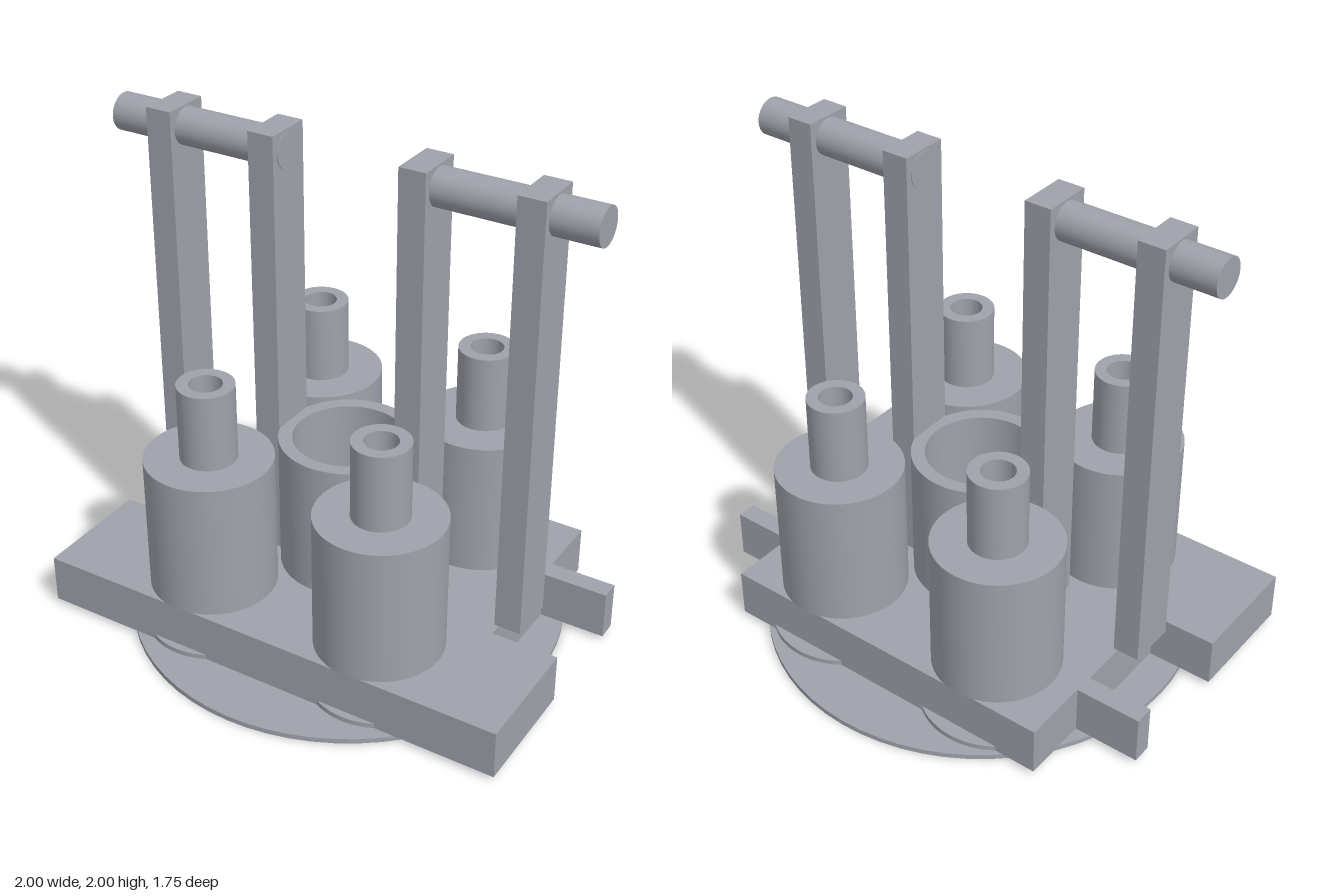
import * as THREE from 'three';
import { toCreasedNormals } from 'three/addons/utils/BufferGeometryUtils.js';

export function createModel() {
  const model = new THREE.Group();
  model.name = 'model';
  const grey = new THREE.MeshStandardMaterial({ color: 0x9fa2ab });
  grey.name = 'grey metal';

  function add(name, geometry, x = 0, y = 0, z = 0) {
    const mesh = new THREE.Mesh(geometry, grey);
    mesh.name = name;
    mesh.position.set(x, y, z);
    model.add(mesh);
  }

  // Turned solid from [radius, y] points, with crisp rims
  function turned(profile) {
    const points = profile.map(([r, y]) => new THREE.Vector2(r, y));
    return toCreasedNormals(new THREE.LatheGeometry(points, 64), 0.6);
  }
  const ring = (inner, outer, y0, y1) =>
    turned([[inner, y0], [outer, y0], [outer, y1], [inner, y1], [inner, y0]]);

  // Thin round base with a central opening
  add('baseDisc', ring(0.22, 0.875, 0, 0.02));

  // Platform with wide front, notched sides and narrow rear arms
  const half = [[1, 0.645], [1, 0.15], [0.73, 0.15], [0.73, -0.29],
    [1, -0.29], [1, -0.37], [0.73, -0.37], [0.73, -0.645]];
  const outline = [...half, ...half.map(([x, z]) => [-x, z]).reverse()];
  const shape = new THREE.Shape(outline.map(([x, z]) => new THREE.Vector2(x, -z)));
  const platform = new THREE.ExtrudeGeometry(shape, { depth: 0.2, bevelEnabled: false });
  platform.rotateX(-Math.PI / 2);
  add('platform', platform, 0, 0.02, 0);

  // Open central tube
  add('centreTube', ring(0.22, 0.275, 0.22, 0.785));

  // Four canisters with hollow necks and low flanges under the platform
  const canister = turned([[0, 0.22], [0.252, 0.22], [0.252, 0.785], [0.112, 0.785],
    [0.112, 1.1], [0.065, 1.1], [0.065, 0.3], [0, 0.3]]);
  for (const x of [-0.38, 0.38]) {
    for (const z of [-0.402, 0.4]) {
      add('canister', canister, x, 0, z);
      const r = z < 0 ? 0.3 : 0.275;
      add('flange', new THREE.CylinderGeometry(r, r, 0.02, 64), x, 0.03, z);
    }
  }

  // Paired uprights, each pair carrying a horizontal rod
  const rod = new THREE.CylinderGeometry(0.074, 0.074, 0.745, 48).rotateZ(Math.PI / 2);
  const post = new THREE.BoxGeometry(0.108, 1.78, 0.198);
  for (const side of [-1, 1]) {
    add('innerPost', post, side * 0.312, 1.11, 0);
    add('outerPost', post, side * 0.765, 1.11, 0);
    add('rod', rod, side * 0.6275, 1.917, 0);
  }
  return model;
}
